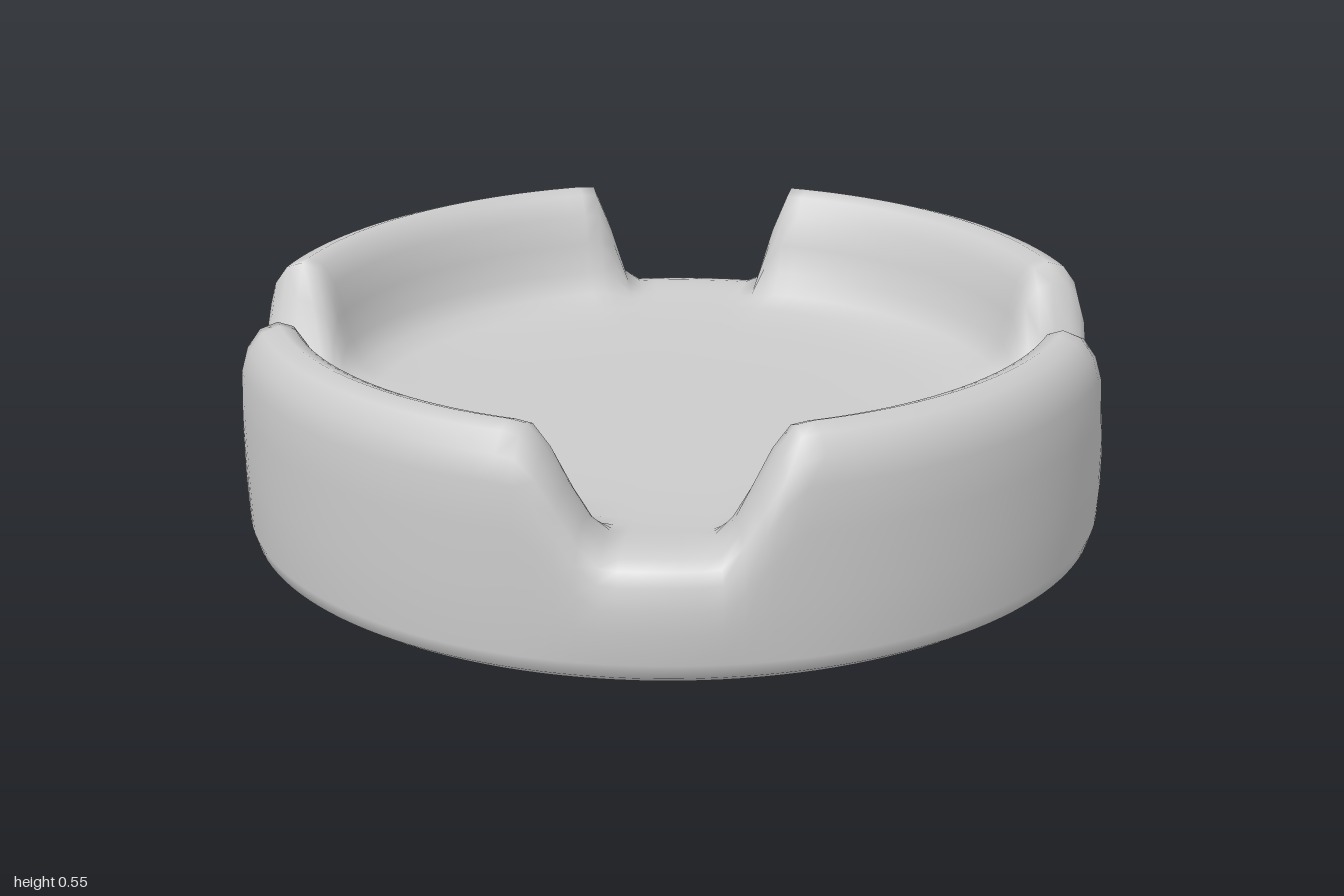
import * as THREE from 'three';

const SEGMENTS = 144;

// Cross-section rows from base centre, up the outside, over the rim, to the floor centre:
// [radius, height at the raised rim, height in a notch, radius in a notch]
const PROFILE = [
  [0, 0, 0, 0], [0.92, 0.004, 0.004, 0.92], [0.955, 0.01, 0.01, 0.955], [0.98, 0.027, 0.027, 0.98],
  [0.99, 0.06, 0.06, 0.99], [0.995, 0.2, 0.13, 0.995], [0.998, 0.34, 0.18, 0.995],
  [0.995, 0.44, 0.23, 0.985], [0.98, 0.495, 0.26, 0.97], [0.95, 0.537, 0.28, 0.95],
  [0.91, 0.55, 0.287, 0.91], [0.875, 0.537, 0.287, 0.875], [0.845, 0.49, 0.286, 0.845],
  [0.825, 0.42, 0.284, 0.82], [0.807, 0.35, 0.282, 0.8], [0.775, 0.302, 0.279, 0.77],
  [0.72, 0.279, 0.275, 0.72], [0.6, 0.268, 0.268, 0.6], [0.4, 0.265, 0.265, 0.4], [0, 0.265, 0.265, 0],
];

// Notch angles in degrees: ramp start, low start, low end, ramp end
const NOTCHES = [[8, 16, 29, 39], [94, 106, 119, 131], [187, 194, 208, 215], [277, 284, 304, 310]];

// 1 on the raised rim, 0 in the bottom of a notch
function rimFactor(deg) {
  let f = 1;
  for (const [a, b, c, d] of NOTCHES) {
    const side = Math.max(1 - THREE.MathUtils.smoothstep(deg, a, b), THREE.MathUtils.smoothstep(deg, c, d));
    f = Math.min(f, side);
  }
  return f;
}

// Sweep the cross-section round the axis, blending between rim and notch
function notchedDish() {
  const positions = [], indices = [], rows = PROFILE.length;
  for (let i = 0; i < SEGMENTS; i++) {
    const deg = (i / SEGMENTS) * 360;
    const angle = THREE.MathUtils.degToRad(deg);
    const f = rimFactor(deg);
    for (const [rimR, rimY, notchY, notchR] of PROFILE) {
      const r = THREE.MathUtils.lerp(notchR, rimR, f);
      const y = THREE.MathUtils.lerp(notchY, rimY, f);
      positions.push(r * Math.cos(angle) * 1.002, y, r * Math.sin(angle) * 0.983);
    }
    const next = (i + 1) % SEGMENTS;
    for (let j = 0; j < rows - 1; j++) {
      const a = i * rows + j, b = next * rows + j;
      // The first and last rows meet at the axis, so each needs one triangle
      if (j > 0) indices.push(a, a + 1, b);
      if (j < rows - 2) indices.push(a + 1, b + 1, b);
    }
  }
  const geometry = new THREE.BufferGeometry();
  geometry.setAttribute('position', new THREE.Float32BufferAttribute(positions, 3));
  geometry.setIndex(indices);
  geometry.computeVertexNormals();
  return geometry;
}

export function createModel() {
  const group = new THREE.Group();
  group.name = 'ashtray';
  const dish = new THREE.Mesh(notchedDish(), new THREE.MeshStandardMaterial({ color: 0xcccccc }));
  dish.name = 'notchedDish';
  group.add(dish);
  return group;
}
